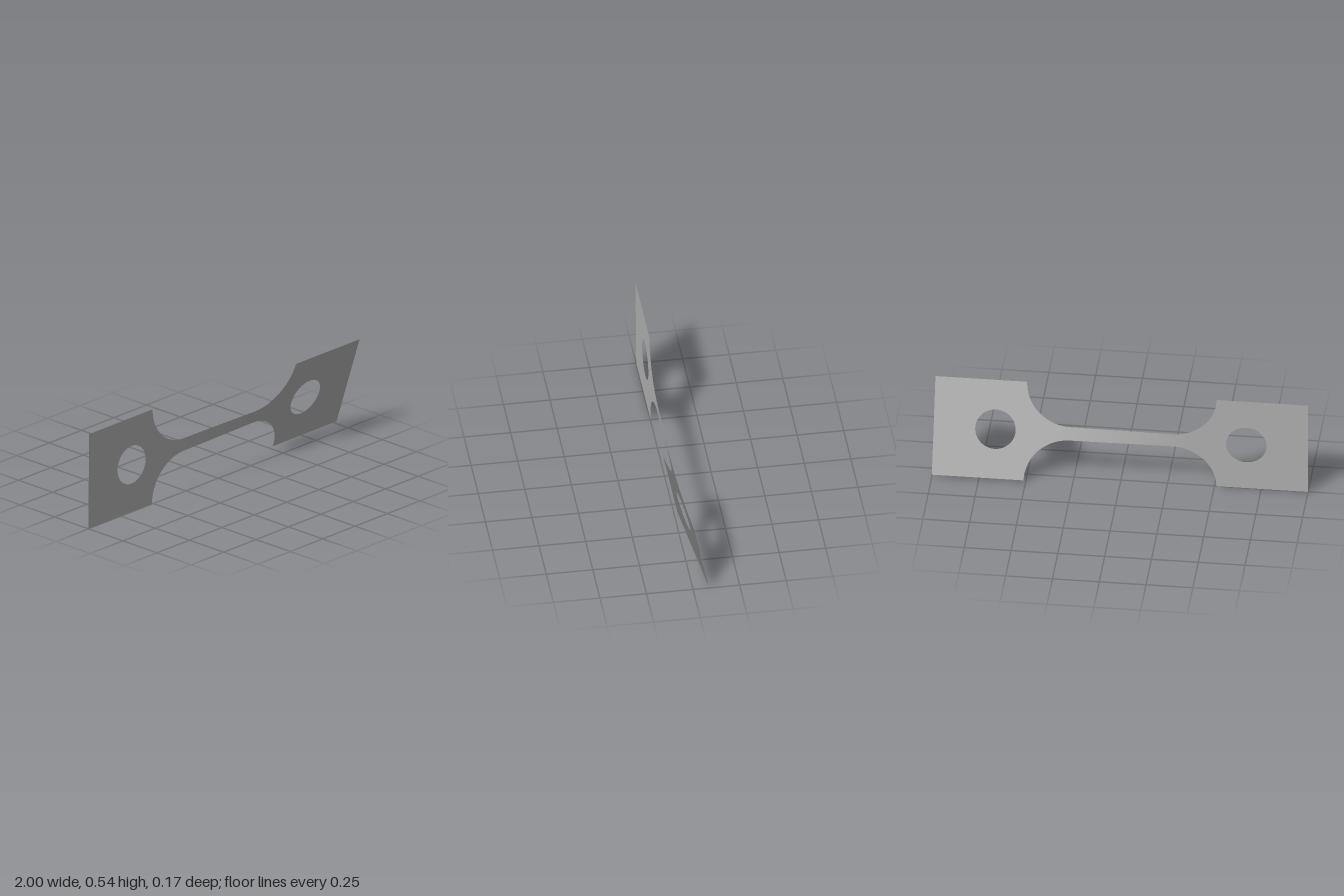
import * as THREE from 'three';

const HALF = 1, GRIP_X = 0.51, GRIP_H = 0.271, NECK_X = 0.27, NECK_H = 0.037;
const START = THREE.MathUtils.degToRad(0.5), END = THREE.MathUtils.degToRad(18.1);

// half height of the bar along its length: straight gauge, then rounded shoulders
function halfHeight(x) {
  const t = Math.min(1, Math.max(0, (Math.abs(x) - NECK_X) / (GRIP_X - NECK_X)));
  return NECK_H + (GRIP_H - NECK_H) * (1 - Math.sqrt(1 - t * t));
}

// twist the sheet about its long axis, mostly within the gauge
function twist(geometry) {
  const p = geometry.attributes.position;
  for (let i = 0; i < p.count; i++) {
    const x = p.getX(i), y = p.getY(i);
    const t = Math.min(1, Math.max(0, (x + 0.35) / 0.7));
    const a = START + (END - START) * t;
    p.setXYZ(i, x, GRIP_H + y * Math.cos(a), 0.001 + y * Math.sin(a));
  }
  geometry.computeVertexNormals();
  return geometry;
}

// flat end plate with a round pin hole
function gripGeometry(side) {
  const a = side > 0 ? GRIP_X : -HALF, b = side > 0 ? HALF : -GRIP_X;
  const shape = new THREE.Shape([
    new THREE.Vector2(a, -GRIP_H), new THREE.Vector2(b, -GRIP_H),
    new THREE.Vector2(b, GRIP_H), new THREE.Vector2(a, GRIP_H),
  ]);
  const hole = new THREE.Path();
  hole.absarc(side * 0.67, 0, 0.108, 0, Math.PI * 2, true);
  shape.holes.push(hole);
  return twist(new THREE.ShapeGeometry(shape, 32));
}

// slim gauge with shoulders, columns packed towards the steep ends
function neckGeometry() {
  const geometry = new THREE.PlaneGeometry(2, 2, 96, 6);
  const p = geometry.attributes.position;
  for (let i = 0; i < p.count; i++) {
    const x = GRIP_X * Math.sin(p.getX(i) * Math.PI / 2);
    p.setXY(i, x, p.getY(i) * halfHeight(x));
  }
  return twist(geometry);
}

export function createModel() {
  const group = new THREE.Group();
  group.name = 'twistedTestBar';
  const steel = new THREE.MeshStandardMaterial({ color: 0xb3b3b3, side: THREE.DoubleSide });
  steel.name = 'steelGrey';

  const add = (name, geometry) => {
    const mesh = new THREE.Mesh(geometry, steel);
    mesh.name = name;
    group.add(mesh);
  };
  add('leftGrip', gripGeometry(1));
  add('rightGrip', gripGeometry(-1));
  add('neck', neckGeometry());
  return group;
}
